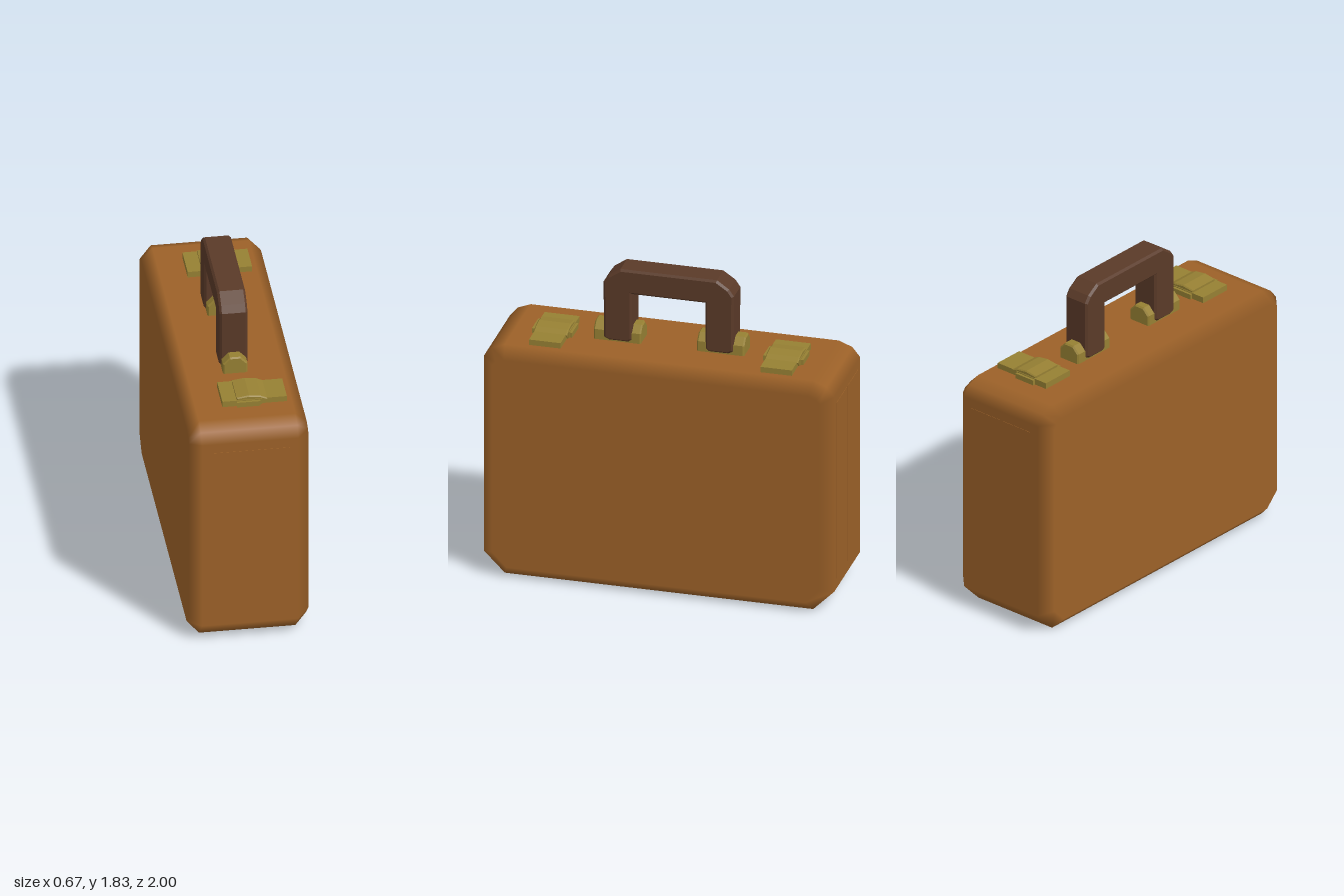
import * as THREE from 'three';

const W = 0.333, H = 1.39;
const leather = new THREE.MeshStandardMaterial({ color: 0x9c6128 });
leather.name = 'tan leather';
const grip = new THREE.MeshStandardMaterial({ color: 0x5a3a28 });
grip.name = 'dark brown leather';
const brass = new THREE.MeshStandardMaterial({ color: 0x968033 });
brass.name = 'brass';

// Extrudes an outline centred along its depth, with a chamfer kept inside it
function slab(points, depth, bevel) {
  const shape = new THREE.Shape(points.map(([a, b]) => new THREE.Vector2(a, b)));
  const g = new THREE.ExtrudeGeometry(shape, {
    depth: depth - 2 * bevel, bevelEnabled: bevel > 0, bevelSize: bevel,
    bevelThickness: bevel, bevelOffset: -bevel, bevelSegments: 1,
  });
  return g.translate(0, 0, -(depth / 2 - bevel));
}

// Completes half an outline (positive side, bottom to top) by mirroring
function mirrored(half) {
  return [...half, ...half.slice().reverse().map(([a, b]) => [-a, b])];
}

function add(parent, name, geometry, material) {
  const mesh = new THREE.Mesh(geometry, material);
  mesh.name = name;
  parent.add(mesh);
  return mesh;
}

// Case body: each vertex takes the normal of its flat, so only chamfers blend
function bodyGeometry() {
  const half = [[0.88, 0], [1, 0.12], [1, 1.305], [0.955, 1.36], [0.88, H]];
  const g = slab(mirrored(half), 2 * W, 0.065).rotateY(Math.PI / 2);
  const p = g.attributes.position, n = g.attributes.normal;
  const v = new THREE.Vector3();
  for (let i = 0; i < p.count; i++) {
    const x = p.getX(i), y = p.getY(i), z = p.getZ(i);
    if (Math.abs(x) > W - 0.002) v.set(Math.sign(x), 0, 0);
    else if (Math.abs(z) > 0.998) v.set(0, 0, Math.sign(z));
    else if (y < 0.002) v.set(0, -1, 0);
    else if (y > H - 0.002) v.set(0, 1, 0);
    else v.set(0, 1, Math.sign(z)).normalize();
    n.setXYZ(i, v.x, v.y, v.z);
  }
  return g;
}

export function createModel() {
  const model = new THREE.Group();
  model.name = 'briefcase';
  add(model, 'caseBody', bodyGeometry(), leather);

  // Shallow end panels, leaving a seam down the middle
  for (const z of [-1, 1]) for (const x of [-1, 1]) {
    const panel = add(model, 'endPanel', new THREE.BoxGeometry(0.21, 1.07, 0.004), leather);
    panel.position.set(x * 0.115, 0.715, z);
  }

  // Carrying handle: a squared arch with cut corners
  const arch = [
    [0.37, 1.41], [0.372, 1.745], [0.345, 1.785], [0.275, 1.833],
    [-0.275, 1.833], [-0.345, 1.785], [-0.372, 1.745], [-0.37, 1.41],
    [-0.34, 1.395], [-0.23, 1.395], [-0.21, 1.41], [-0.21, 1.688],
    [0.21, 1.688], [0.21, 1.41], [0.23, 1.395], [0.34, 1.395],
  ];
  add(model, 'handle', slab(arch, 0.156, 0.012).rotateY(Math.PI / 2), grip);

  // Handle mounts and latches, one set at each end
  const mountOutline = mirrored([[0.068, 1.38], [0.068, 1.45], [0.03, 1.49]]);
  const latchOutline = [
    [-0.04, 1.38], [0.1, 1.38], [0.135, 1.42], [0.095, 1.438], [0.03, 1.447], [-0.04, 1.437],
  ];
  for (const s of [-1, 1]) {
    const mount = add(model, 'handleMount', slab(mountOutline, 0.27, 0.008), brass);
    mount.position.z = s * 0.295;

    const latch = new THREE.Group();
    latch.name = 'latch';
    latch.position.z = s * 0.66;
    model.add(latch);
    const plate = add(latch, 'latchPlate', new THREE.BoxGeometry(0.22, 0.045, 0.2), brass);
    plate.position.set(-0.01, 1.4025, 0);
    const clasp = add(latch, 'latchClasp', new THREE.BoxGeometry(0.14, 0.045, 0.18), brass);
    clasp.position.set(0.17, 1.4, 0);
    add(latch, 'latchCover', slab(latchOutline, 0.19, 0.006), brass);
    const hinge = add(latch, 'latchHinge', new THREE.BoxGeometry(0.13, 0.04, 0.23), brass);
    hinge.position.set(0.025, 1.4, 0);
  }
  return model;
}
